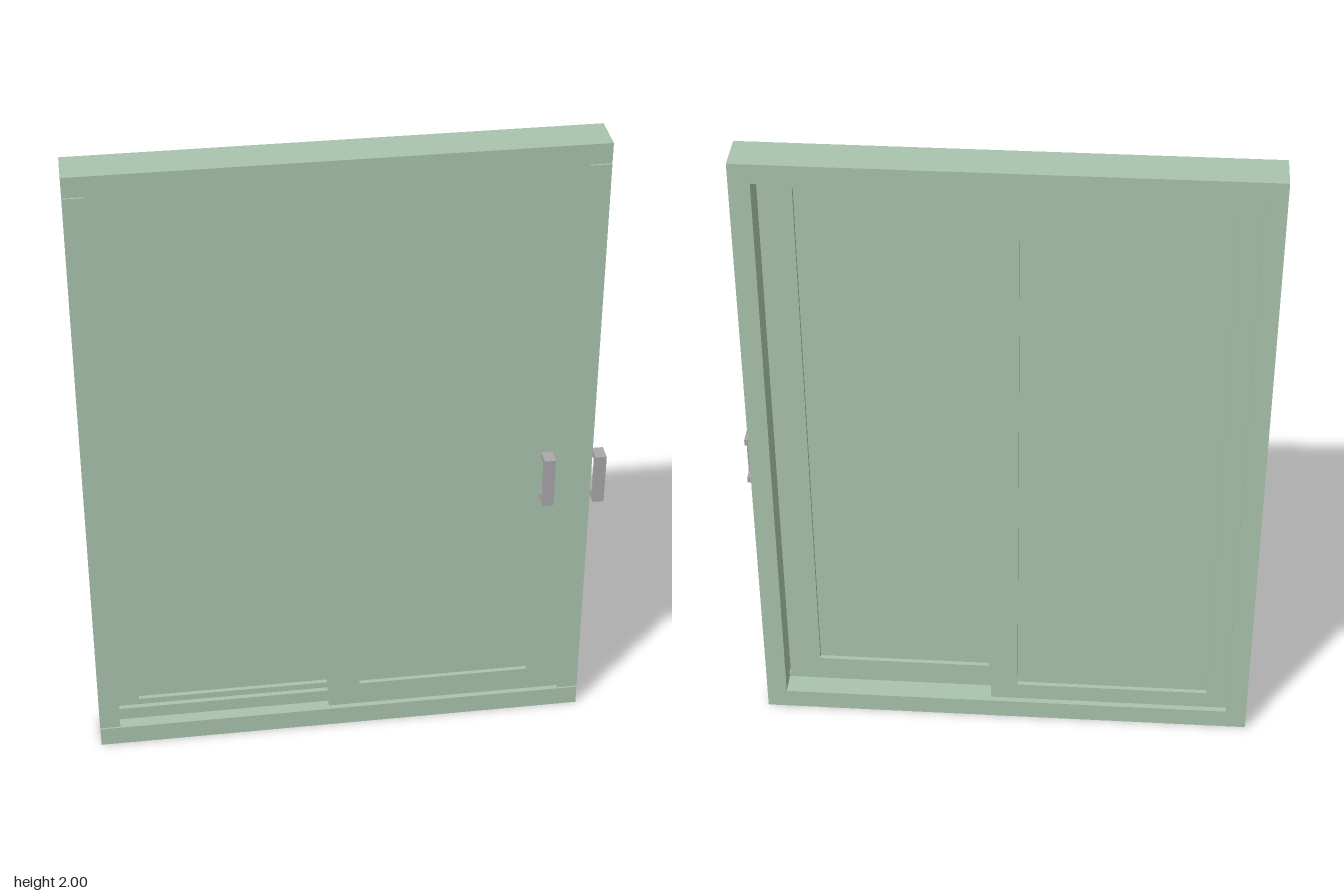
import * as THREE from 'three';

const green = new THREE.MeshStandardMaterial({ color: 0xa9c4ad });
green.name = 'sage green paint';
const grey = new THREE.MeshStandardMaterial({ color: 0xaba7ab });
grey.name = 'grey metal';

// Box given by its limits on each axis
function box(name, [x0, x1], [y0, y1], [z0, z1], material = green) {
  const mesh = new THREE.Mesh(new THREE.BoxGeometry(x1 - x0, y1 - y0, z1 - z0), material);
  mesh.position.set((x0 + x1) / 2, (y0 + y1) / 2, (z0 + z1) / 2);
  mesh.name = name;
  return mesh;
}

// Sliding panel: a rectangular surround with a thinner pane set into it
function slidingPanel(name, [x0, x1], [y0, y1], [z0, z1], [ix0, ix1], [iy0, iy1]) {
  const panel = new THREE.Group();
  panel.name = name;
  const shape = new THREE.Shape();
  shape.moveTo(x0, y0).lineTo(x1, y0).lineTo(x1, y1).lineTo(x0, y1).closePath();
  const hole = new THREE.Path();
  hole.moveTo(ix0, iy0).lineTo(ix0, iy1).lineTo(ix1, iy1).lineTo(ix1, iy0).closePath();
  shape.holes.push(hole);
  const surround = new THREE.Mesh(
    new THREE.ExtrudeGeometry(shape, { depth: z1 - z0, bevelEnabled: false }), green);
  surround.position.z = z0;
  surround.name = name + 'Surround';
  panel.add(surround, box(name + 'Pane', [ix0, ix1], [iy0, iy1], [z0 + 0.014, z1 - 0.014]));
  return panel;
}

// C-shaped pull handle, seen from the side and extruded across x
function handle(name, x) {
  const s = new THREE.Shape();
  s.moveTo(-0.03, 0.815).lineTo(-0.083, 0.815).lineTo(-0.083, 0.977).lineTo(-0.03, 0.977)
    .lineTo(-0.03, 0.957).lineTo(-0.062, 0.957).lineTo(-0.062, 0.835).lineTo(-0.03, 0.835).closePath();
  const geometry = new THREE.ExtrudeGeometry(s, { depth: 0.034, bevelEnabled: false });
  geometry.rotateY(Math.PI / 2);
  const mesh = new THREE.Mesh(geometry, grey);
  mesh.position.x = x;
  mesh.name = name;
  return mesh;
}

export function createModel() {
  const door = new THREE.Group();
  door.name = 'slidingDoor';
  const left = 0.747, right = -0.783, back = -0.083, front = 0.043;
  const depth = [back, front];

  // Outer frame
  door.add(
    box('head', [right, left], [1.94, 2], depth),
    box('sill', [right, left], [0, 0.063], depth));
  for (const [name, x] of [['rightJamb', [right, -0.72]], ['leftJamb', [0.685, left]]]) {
    door.add(box(name, x, [0.068, 1.935], depth));
    // Core behind the shallow joint grooves
    for (const y of [[0.063, 0.068], [1.935, 1.94]])
      door.add(box(name + 'Joint', x, y, [back, front - 0.005]));
  }

  // Two panels running in separate tracks
  door.add(
    slidingPanel('frontPanel', [-0.055, 0.681], [0.08, 1.938], [-0.012, 0.032],
      [0.042, 0.582], [0.147, 1.89]),
    slidingPanel('backPanel', [-0.72, 0.03], [0.068, 1.938], [-0.07, -0.014],
      [-0.655, -0.055], [0.126, 1.875]));

  // Tracks on the sill
  door.add(
    box('frontTrack', [-0.055, 0.685], [0.063, 0.08], [-0.012, 0.026]),
    box('backTrack', [-0.72, -0.055], [0.063, 0.105], [-0.014, 0.002]));

  // Pull handles
  door.add(handle('panelHandle', 0.592), handle('frameHandle', left));
  return door;
}
